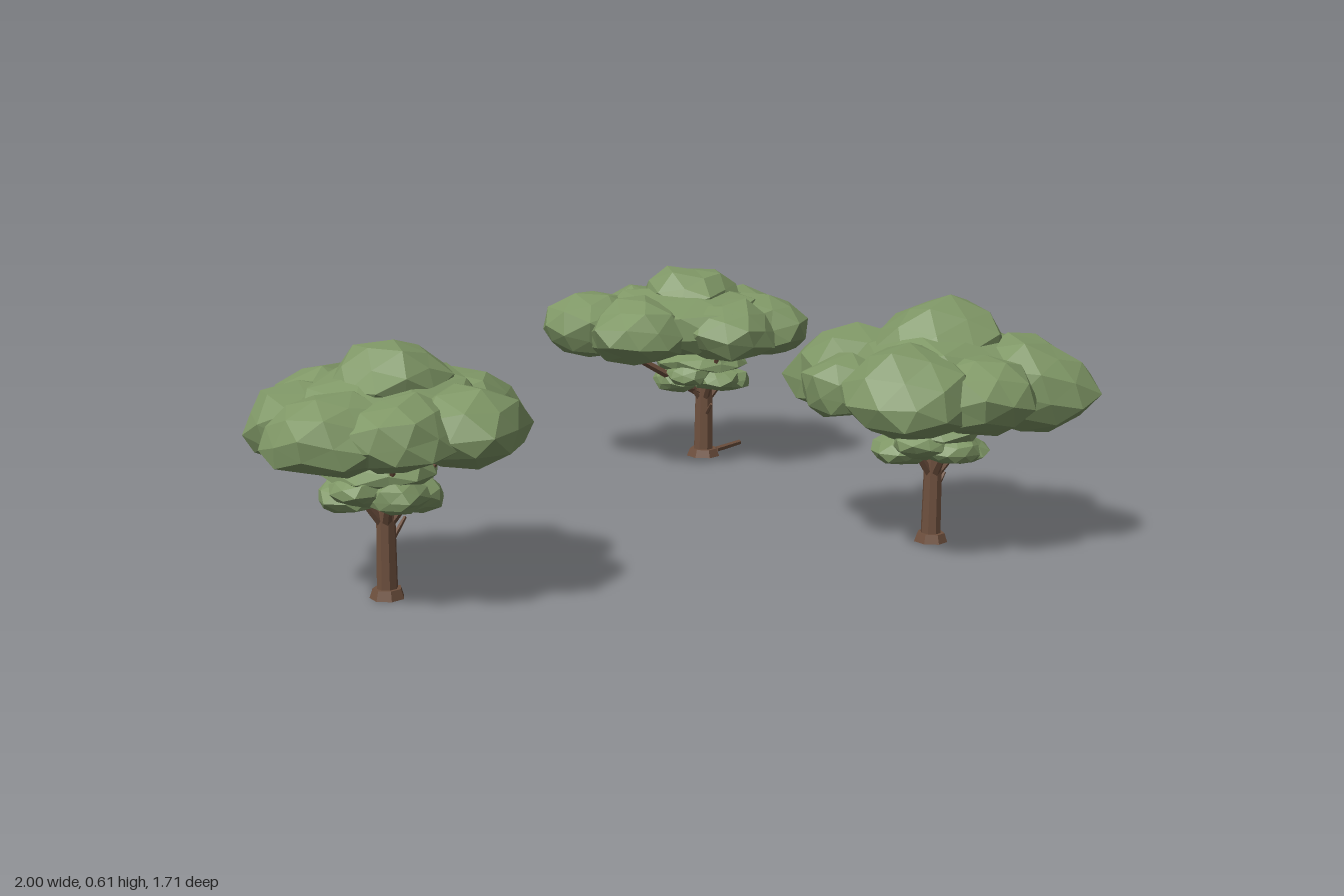
import * as THREE from 'three';

// Small seeded generator for the irregular facets
let seed = 11;
const rnd = () => {
  seed = (seed * 16807) % 2147483647;
  return seed / 2147483647;
};

const leaf = new THREE.MeshStandardMaterial({ color: 0x7f9766 });
leaf.name = 'leaf green';
const bark = new THREE.MeshStandardMaterial({ color: 0x6e503e });
bark.name = 'bark brown';

// Splits shared corners so each facet is flat
function facet(geo) {
  const g = geo.index ? geo.toNonIndexed() : geo;
  g.computeVertexNormals();
  return g;
}

function add(group, name, geo, material) {
  const mesh = new THREE.Mesh(facet(geo), material);
  mesh.name = name;
  group.add(mesh);
  return mesh;
}

// Uneven leaf clump with a flatter underside; coincident corners get the same offset
function clump(group, name, x, y, z, r, h) {
  const geo = new THREE.IcosahedronGeometry(1, 1);
  const p = geo.attributes.position;
  const offsets = new Map();
  const turn = new THREE.Euler(rnd() * 6.28, rnd() * 6.28, 0);
  const v = new THREE.Vector3();
  for (let i = 0; i < p.count; i++) {
    v.fromBufferAttribute(p, i);
    const key = v.toArray().map((n) => Math.round(n * 100)).join();
    if (!offsets.has(key)) offsets.set(key, 0.88 + rnd() * 0.22);
    v.multiplyScalar(offsets.get(key)).applyEuler(turn);
    p.setXYZ(i, v.x * r, v.y * h * (v.y < 0 ? 0.72 : 1), v.z * r);
  }
  add(group, name, geo, leaf).position.set(x, y, z);
}

// Tapered limb between two points
function limb(group, name, a, b, r0, r1, sides = 5) {
  const from = new THREE.Vector3(...a);
  const dir = new THREE.Vector3(...b).sub(from);
  const geo = new THREE.CylinderGeometry(r1, r0, dir.length(), sides);
  const mesh = add(group, name, geo, bark);
  mesh.position.copy(from).addScaledVector(dir, 0.5);
  mesh.quaternion.setFromUnitVectors(THREE.Object3D.DEFAULT_UP, dir.normalize());
}

// trunk: x, z, radius; twigs: x, z reach; core and top: x, z, radius, half height
// rim: outer clumps as x, z, radius (half height follows from the radius)
function makeTree({ name, trunk: [x, z, r], twigs, core, top, rim, rise }) {
  const tree = new THREE.Group();
  tree.name = name;

  // Trunk with a flared foot
  limb(tree, 'trunk', [x, 0, z], [x, 0.25, z], r, r * 0.85, 8);
  limb(tree, 'trunkFoot', [x, 0, z], [x, 0.022, z], r * 1.65, r * 1.35, 7);

  // Forked limbs rising into the crown
  for (let i = 0; i < 5; i++) {
    const a = i * 1.257 + 0.4;
    const dx = Math.cos(a), dz = Math.sin(a);
    limb(tree, 'branch', [x + dx * 0.01, 0.17, z + dz * 0.01],
      [x + dx * 0.13, 0.33, z + dz * 0.13], 0.011, 0.006);
  }
  // Bare twigs on the trunk
  for (const [tx, tz] of twigs) {
    limb(tree, 'twig', [x + tx * 0.2, 0.12, z + tz * 0.2], [x + tx, 0.165, z + tz], 0.007, 0.004);
  }

  // Small lower crown
  for (let i = 0; i < 6; i++) {
    const a = i * 1.047 + 0.3;
    clump(tree, 'lowerLeaves', x - 0.01 + Math.cos(a) * 0.07, 0.228 + (i % 3) * 0.014,
      z + Math.sin(a) * 0.07, 0.074, 0.046);
  }
  clump(tree, 'lowerLeaves', x - 0.01, 0.285, z, 0.13, 0.05);

  // Main crown: rim clumps around a broad core, with one clump on top
  for (const [cx, cz, cr] of rim) clump(tree, 'crownLeaves', cx, 0.387, cz, cr, cr * rise);
  clump(tree, 'crownCore', core[0], 0.4, core[1], core[2], core[3]);
  clump(tree, 'crownTop', top[0], 0.47, top[1], top[2], top[3]);
  return tree;
}

export function createModel() {
  const model = new THREE.Group();
  model.name = 'treeGroup';

  model.add(makeTree({
    name: 'leftTree', trunk: [-0.7, 0.53, 0.024], twigs: [[0.055, -0.05]], rise: 0.7,
    core: [-0.69, 0.52, 0.23, 0.125], top: [-0.68, 0.54, 0.14, 0.1],
    rim: [[-0.79, 0.37, 0.155], [-0.59, 0.36, 0.155], [-0.86, 0.5, 0.14], [-0.84, 0.64, 0.145],
      [-0.51, 0.46, 0.145], [-0.71, 0.69, 0.135], [-0.55, 0.65, 0.145]],
  }));

  model.add(makeTree({
    name: 'rightTree', trunk: [0.66, 0.53, 0.025], twigs: [[0.045, -0.02]], rise: 0.82,
    core: [0.67, 0.52, 0.26, 0.145], top: [0.68, 0.51, 0.17, 0.13],
    rim: [[0.52, 0.37, 0.16], [0.74, 0.33, 0.165], [0.86, 0.46, 0.145], [0.84, 0.65, 0.16],
      [0.51, 0.67, 0.16], [0.65, 0.71, 0.14], [0.43, 0.5, 0.11]],
  }));

  const back = makeTree({
    name: 'backTree', trunk: [0.52, -0.55, 0.03], twigs: [[0.04, -0.05], [0, 0.055]], rise: 0.74,
    core: [0.45, -0.55, 0.26, 0.125], top: [0.48, -0.56, 0.145, 0.1],
    rim: [[0.185, -0.61, 0.15], [0.27, -0.44, 0.15], [0.38, -0.69, 0.16], [0.58, -0.69, 0.155],
      [0.665, -0.61, 0.145], [0.64, -0.44, 0.145], [0.51, -0.37, 0.145]],
  });
  model.add(back);

  // Long side limb and fallen log of the back tree
  limb(back, 'sideLimb', [0.51, 0.19, -0.55], [0.26, 0.33, -0.52], 0.015, 0.008);
  limb(back, 'fallenLog', [0.57, 0.009, -0.57], [0.67, 0.014, -0.62], 0.009, 0.008, 6);
  return model;
}
